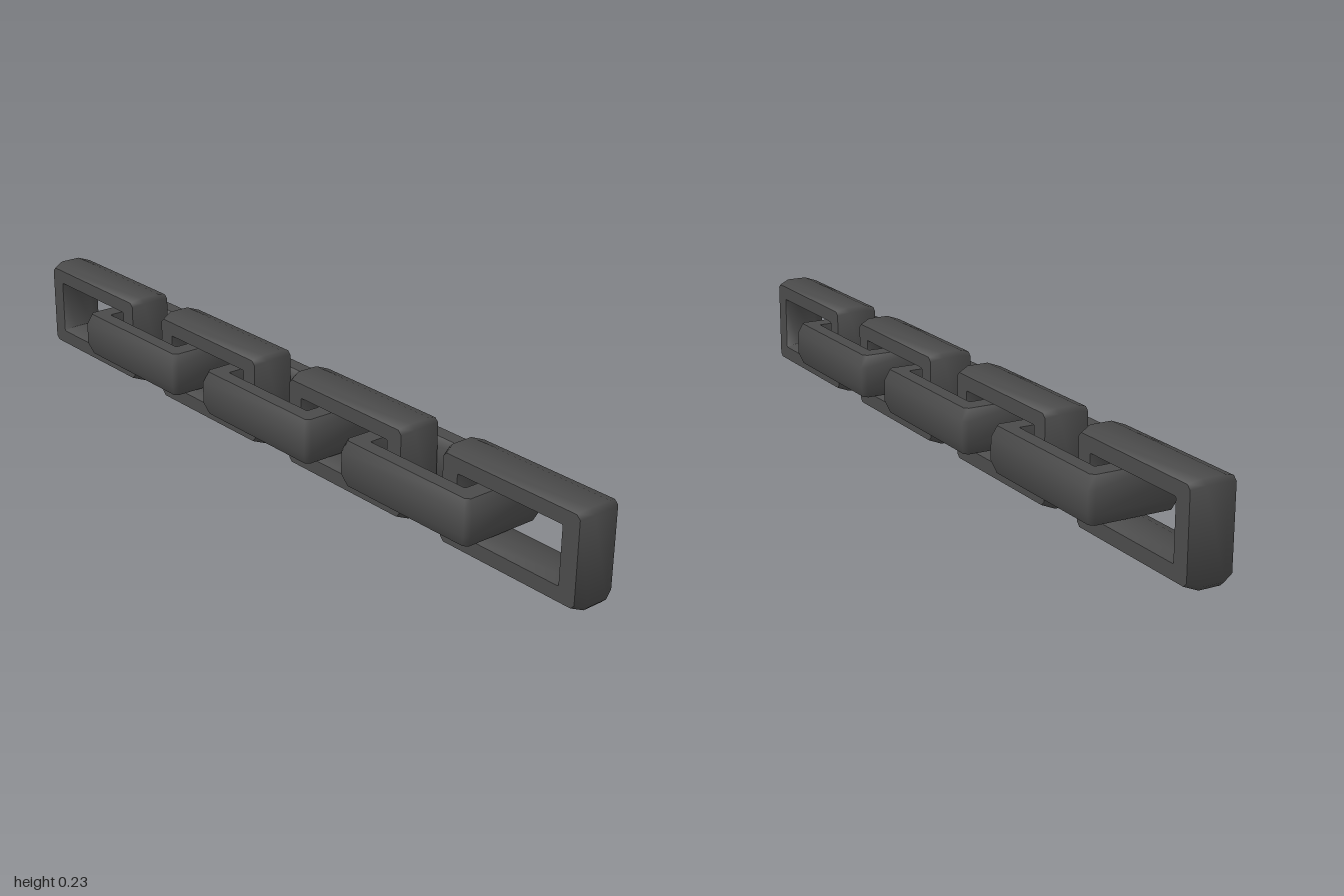
import * as THREE from 'three';
import { toCreasedNormals } from 'three/addons/utils/BufferGeometryUtils.js';

const HALF_LENGTH = 0.209, HALF_HEIGHT = 0.1165; // outer half size of a link
const END_BAR = 0.07, SIDE_BAR = 0.056;          // bar thickness at ends and sides
const SPACING = 0.2637, LINKS = 7;

// Bar section: [across the link, depth from outer (0) to inner (1) face]
const SECTION = [
  [-0.056, 0.18], [-0.027, 0], [0.027, 0], [0.056, 0.18],
  [0.056, 0.82], [0.027, 1], [-0.027, 1], [-0.056, 0.82],
];

// Rectangle with slightly cut corners, counterclockwise, at a given depth
function ring(across, depth) {
  const a = HALF_LENGTH - depth * END_BAR;
  const b = HALF_HEIGHT - depth * SIDE_BAR;
  const cut = 0.011 * (1 - depth) + 0.0005;
  return [
    [a, -b + cut], [a, b - cut], [a - cut, b], [-a + cut, b],
    [-a, b - cut], [-a, -b + cut], [-a + cut, -b], [a - cut, -b],
  ].map(([x, y]) => [x, y, across]);
}

// Sweep the chamfered section around the rectangular link
function linkGeometry() {
  const rings = SECTION.map(([w, d]) => ring(w, d));
  const positions = [];
  for (let j = 0; j < rings.length; j++) {
    const r0 = rings[j], r1 = rings[(j + 1) % rings.length];
    for (let i = 0; i < r0.length; i++) {
      const k = (i + 1) % r0.length;
      for (const p of [r0[i], r0[k], r1[k], r0[i], r1[k], r1[i]]) positions.push(...p);
    }
  }
  const geometry = new THREE.BufferGeometry();
  geometry.setAttribute('position', new THREE.Float32BufferAttribute(positions, 3));
  return toCreasedNormals(geometry, 0.9);
}

export function createModel() {
  const chain = new THREE.Group();
  chain.name = 'chain';
  const geometry = linkGeometry();
  const material = new THREE.MeshStandardMaterial({ color: 0x4a4a4a });

  // Links alternate between upright and lying flat
  for (let i = 0; i < LINKS; i++) {
    const link = new THREE.Mesh(geometry, material);
    const flat = i % 2 === 1;
    link.name = (flat ? 'flatLink' : 'uprightLink') + (i + 1);
    link.position.set((i - (LINKS - 1) / 2) * SPACING, HALF_HEIGHT, 0);
    if (flat) link.rotation.x = Math.PI / 2;
    chain.add(link);
  }
  return chain;
}
